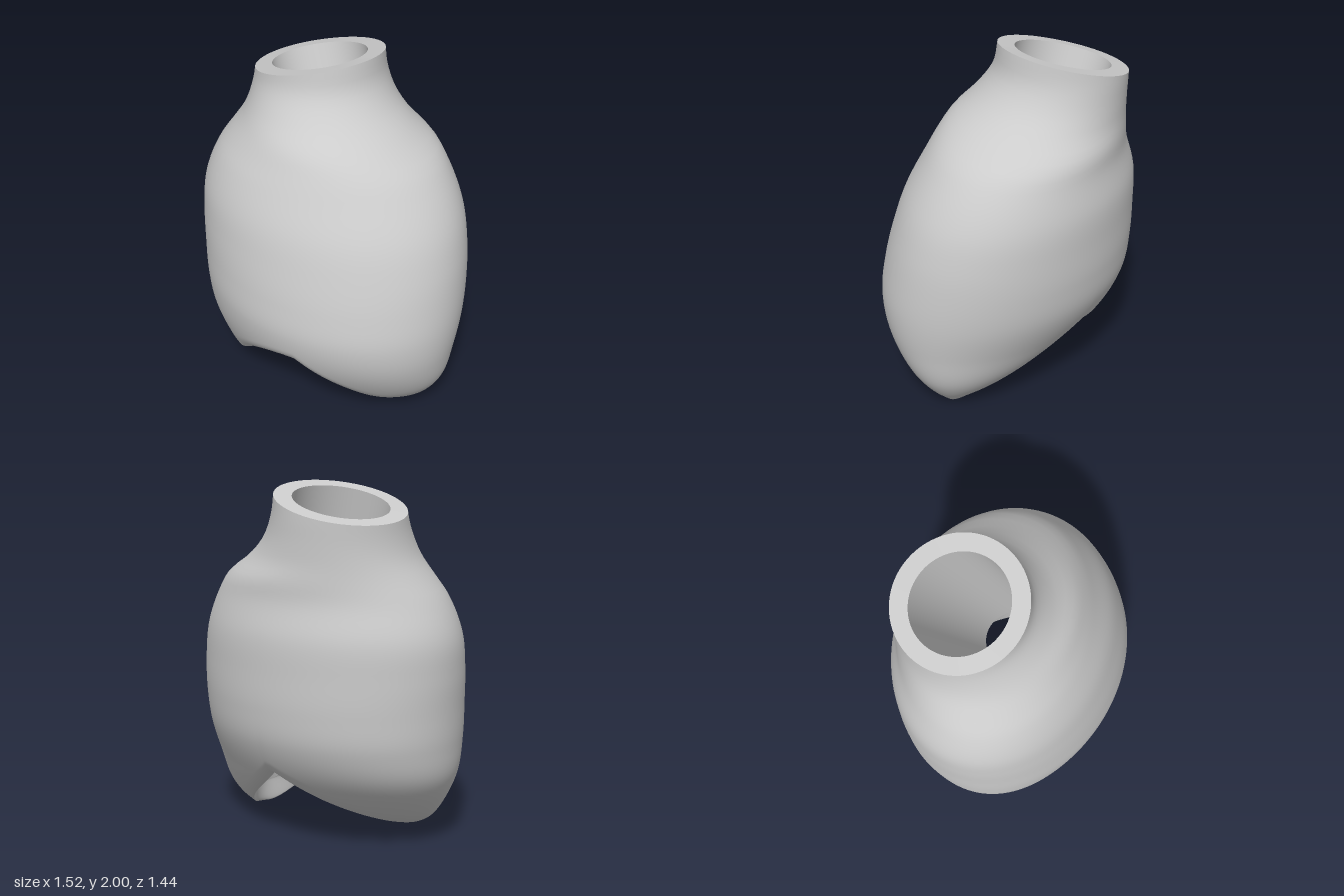
import * as THREE from 'three';

const SEG = 144;
const lerp = THREE.MathUtils.lerp;
const rad = THREE.MathUtils.degToRad;

// Horizontal sections: height, then xMin, xMax, zMin, zMax, diagonal skew
const SECTIONS = [
  [0.0, -0.50, 0.50, -0.02, 0.39, 0.60],
  [0.1, -0.59, 0.59, -0.25, 0.51, 0.48],
  [0.2, -0.65, 0.65, -0.40, 0.59, 0.42],
  [0.4, -0.73, 0.70, -0.595, 0.69, 0.34],
  [0.6, -0.755, 0.74, -0.685, 0.725, 0.27],
  [0.8, -0.76, 0.755, -0.71, 0.70, 0.25],
  [1.0, -0.76, 0.75, -0.715, 0.65, 0.25],
  [1.2, -0.74, 0.72, -0.71, 0.58, 0.24],
  [1.4, -0.66, 0.64, -0.66, 0.47, 0.21],
  [1.5, -0.59, 0.575, -0.65, 0.41, 0.17],
  [1.6, -0.52, 0.45, -0.645, 0.33, 0.11],
  [1.7, -0.475, 0.36, -0.645, 0.21, 0.04],
  [1.84, -0.44, 0.30, -0.65, 0.10, 0],
  [2.0, -0.44, 0.28, -0.65, 0.065, 0],
];
const sections = new THREE.CubicInterpolant(
  SECTIONS.map((s) => s[0]), SECTIONS.flatMap((s) => s.slice(1)), 5, new Float32Array(5));

// Point of the outer skin at a height and angle
function skin(y, a, inset = 0) {
  const [x0, x1, z0, z1, k] = sections.evaluate(THREE.MathUtils.clamp(y, 0, 2));
  const rx = (x1 - x0) / 2 - inset, rz = (z1 - z0) / 2 - inset;
  return new THREE.Vector3(
    (x0 + x1) / 2 + rx * Math.cos(a), y,
    (z0 + z1) / 2 + rz * (k * Math.cos(a) + Math.sqrt(1 - k * k) * Math.sin(a)));
}

// Tilted plane of the neck opening
const topY = (x, z) => 1.905 + 0.155 * (x + 0.08) + 0.215 * (z + 0.29);

function neckEdge(a) {
  const y = topY(-0.08 + 0.36 * Math.cos(a), -0.29 + 0.36 * Math.sin(a));
  return skin(y, a);
}

// Height of the lower edge: a front-left lobe, a back-right lobe, an arch between
const FRONT_ARCH = rad(107), BACK_ARCH = rad(297);
function edgeY(a) {
  if (a > FRONT_ARCH && a < BACK_ARCH) {
    const d = (a - rad(207)) / rad(a < rad(207) ? 100 : 90);
    return lerp(0.05, 0.41, d < 0 ? Math.sin(-d * Math.PI / 2) ** 4 : d ** 1.6);
  }
  const d = (a > Math.PI ? a - Math.PI * 2 : a) - rad(27);
  return 0.41 * (d > 0 ? (d / rad(80)) ** 1.9 : (-d / rad(90)) ** 3.2);
}

// Outer wall, turned inward where it rolls under the arch
function wall(y, low, a) {
  const q = THREE.MathUtils.clamp(1 - (y - low) / 0.09, 0, 1);
  return skin(y, a, 0.07 * (low / 0.41) * (1 - Math.sqrt(1 - q * q)));
}

// Slanted bore running from the neck to the arch, narrowing slightly
function bore(y, a) {
  const drop = 1.905 - y, r = 0.265 - 0.018 * drop;
  return new THREE.Vector3(
    -0.08 + 0.19 * drop + r * Math.cos(a), y,
    -0.29 + 0.27 * drop + r * Math.sin(a));
}

function boreBottom(a) {
  const c = Math.cos(a - rad(38));
  return bore(0.38 - 0.14 * c - 0.1 * c * c, a);
}

function boreTop(a) {
  const x = -0.08 + 0.265 * Math.cos(a), z = -0.29 + 0.265 * Math.sin(a);
  return new THREE.Vector3(x, topY(x, z), z);
}

// Closed loops of points joined into a smooth skin
function loft(name, rows, point) {
  const pos = [], index = [];
  for (let i = 0; i <= rows; i++) {
    for (let j = 0; j < SEG; j++) {
      pos.push(...point(i, j / SEG * Math.PI * 2).toArray());
      if (i === rows) continue;
      const a = i * SEG + j, b = i * SEG + (j + 1) % SEG;
      index.push(a, b, a + SEG, b, b + SEG, a + SEG);
    }
  }
  const geo = new THREE.BufferGeometry();
  geo.setAttribute('position', new THREE.Float32BufferAttribute(pos, 3));
  geo.setIndex(index);
  geo.computeVertexNormals();
  const mesh = new THREE.Mesh(geo, new THREE.MeshStandardMaterial({
    color: 0xcccccc, side: THREE.DoubleSide }));
  mesh.name = name;
  return mesh;
}

export function createModel() {
  const group = new THREE.Group();
  group.name = 'lobedBody';
  const SIDE = 72, UNDER = 20;

  // Outer wall from the neck to the lobes, then the arched underside
  group.add(loft('outerBody', SIDE + UNDER, (i, a) => {
    const low = edgeY(a);
    if (i <= SIDE) return wall(lerp(neckEdge(a).y, low, Math.sin(i / SIDE * Math.PI / 2)), low, a);
    const t = (i - SIDE) / UNDER, end = boreBottom(a);
    const p = wall(low, low, a).lerp(end, t);
    p.y = lerp(low, end.y, t * t * (3 - 2 * t));
    return p;
  }));

  // Inner wall of the bore
  group.add(loft('boreWall', 16, (i, a) => boreBottom(a).lerp(boreTop(a), i / 16)));

  // Flat ring around the neck opening
  group.add(loft('neckRim', 1, (i, a) => (i ? neckEdge(a) : boreTop(a))));

  return group;
}
